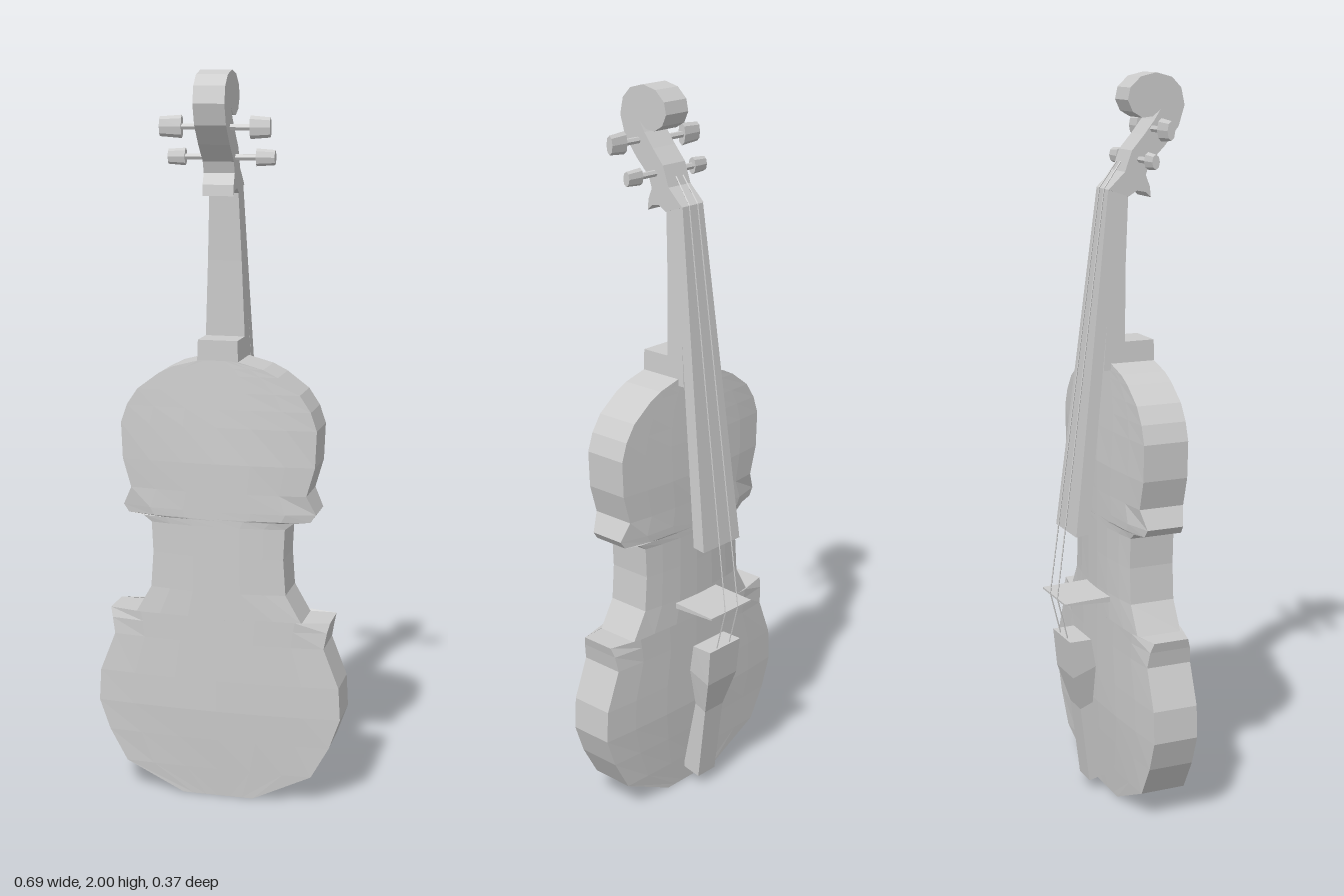
import * as THREE from 'three';

const material = new THREE.MeshStandardMaterial({ color: 0xcccccc, flatShading: true, side: THREE.DoubleSide });

function add(parent, name, geometry) {
  const mesh = new THREE.Mesh(geometry, material);
  mesh.name = name;
  parent.add(mesh);
  return mesh;
}

// Skin a stack of equal-length rings (bottom to top) and close both ends.
function loft(rings) {
  const n = rings[0].length, index = [];
  for (let i = 0; i < rings.length - 1; i++) {
    for (let j = 0; j < n; j++) {
      const k = (j + 1) % n, a = i * n + j, b = i * n + k;
      index.push(a, b, a + n, b, b + n, a + n);
    }
  }
  const top = (rings.length - 1) * n;
  for (let j = 1; j < n - 1; j++) {
    index.push(0, j + 1, j, top, top + j, top + j + 1);
  }
  const g = new THREE.BufferGeometry();
  g.setAttribute('position', new THREE.Float32BufferAttribute(rings.flat(2), 3));
  g.setIndex(index);
  const flat = g.toNonIndexed();
  flat.computeVertexNormals();
  return flat;
}

// Extrude a side profile of [z, y] points; width(y) gives the half width.
function sideProfile(points, width) {
  const shape = new THREE.Shape(points.map(([z, y]) => new THREE.Vector2(z, y)));
  const g = new THREE.ExtrudeGeometry(shape, { depth: 2, bevelEnabled: false });
  g.translate(0, 0, -1).rotateY(-Math.PI / 2);
  const p = g.attributes.position;
  for (let i = 0; i < p.count; i++) p.setX(i, p.getX(i) * width(p.getY(i)));
  g.computeVertexNormals();
  return g;
}

// Rod between two points.
function rod(a, b, radius, sides) {
  const path = new THREE.LineCurve3(new THREE.Vector3(...a), new THREE.Vector3(...b));
  return new THREE.TubeGeometry(path, 1, radius, sides, false);
}

export function createModel() {
  const model = new THREE.Group();
  model.name = 'violin';

  // Body outline: y, half width, rim inset at the pointed corners
  const outline = [
    [0, 0.1, 0], [0.08, 0.265, 0], [0.17, 0.315, 0], [0.255, 0.345, 0], [0.345, 0.34, 0],
    [0.455, 0.297, 0], [0.5, 0.305, 0.005], [0.527, 0.312, 0.014], [0.522, 0.235, 0],
    [0.6, 0.19, 0], [0.7, 0.183, 0], [0.785, 0.187, 0], [0.803, 0.21, 0], [0.807, 0.255, 0.01],
    [0.828, 0.27, 0.012], [0.88, 0.245, 0], [0.96, 0.268, 0], [1.06, 0.272, 0],
    [1.11, 0.255, 0], [1.155, 0.225, 0], [1.2, 0.165, 0], [1.22, 0.125, 0], [1.24, 0.05, 0],
  ];
  const steps = [-1, -0.7, -0.35, 0, 0.35, 0.7, 1];
  add(model, 'body', loft(outline.map(([y, w, inset]) => {
    const crown = 0.018 * Math.min(1, 1.6 * Math.sin(Math.PI * Math.min(1, y / 1.24)));
    const arch = (t) => crown * (1 - t * t) - (Math.abs(t) === 1 ? inset : 0);
    const back = steps.map((t) => [w * t, y, 0.09 + arch(t)]);
    const front = steps.map((t) => [-w * t, y, -0.037 - arch(t)]);
    return [...back, ...front];
  })));

  // Neck with heel block
  const taper = (y) => 0.04 + (1.68 - y) * 0.037;
  add(model, 'neck', sideProfile([
    [0.09, 1.22], [0.09, 1.295], [0.005, 1.295], [0.01, 1.5], [0.02, 1.68],
    [0.01, 1.72], [-0.037, 1.7], [-0.037, 1.45], [-0.058, 1.22],
  ], taper));

  // Pegbox rising into the scroll
  add(model, 'pegboxAndScroll', sideProfile([
    [-0.037, 1.7], [0.02, 1.68], [0.045, 1.695], [0.07, 1.69], [0.085, 1.676], [0.082, 1.705], [0.07, 1.735],
    [0.08, 1.765], [0.125, 1.81], [0.165, 1.86], [0.182, 1.915], [0.172, 1.96], [0.145, 1.988],
    [0.1, 2.0], [0.055, 1.99], [0.025, 1.962], [0.018, 1.93], [0.032, 1.9], [0.06, 1.884],
    [0.09, 1.887], [0.112, 1.905], [0.095, 1.878], [0.065, 1.84], [0.03, 1.8], [0.01, 1.745],
  ], () => 0.042));

  // Fingerboard
  add(model, 'fingerboard', sideProfile([
    [-0.037, 1.7], [-0.035, 1.45], [-0.11, 0.775], [-0.147, 0.77],
  ], taper));

  // Tuning pegs: side, y, z, knob start, knob end, knob half height
  const pegs = [
    [1, 1.855, 0.117, 0.095, 0.148, 0.03], [-1, 1.855, 0.09, 0.095, 0.155, 0.03],
    [1, 1.776, 0.058, 0.098, 0.148, 0.023], [-1, 1.776, 0.053, 0.095, 0.142, 0.023],
  ];
  for (const [side, y, z, start, end, half] of pegs) {
    const peg = new THREE.Group();
    peg.name = 'tuningPeg';
    add(peg, 'pegShaft', rod([side * 0.03, y, z], [side * start, y, z], 0.009, 6));
    const knob = new THREE.CylinderGeometry(0.85, 1, end - start, 8);
    knob.rotateZ(-side * Math.PI / 2).scale(1, half, 0.013);
    add(peg, 'pegKnob', knob).position.set(side * (start + end) / 2, y, z);
    model.add(peg);
  }

  // Bridge: thin wedge standing off the body
  add(model, 'bridge', sideProfile([
    [-0.05, 0.592], [-0.05, 0.576], [-0.185, 0.582], [-0.185, 0.587],
  ], () => 0.083));

  // Tailpiece: y and z of the inner edge, y and z of the outer edge, half width
  const tailRows = [
    [0.045, -0.037, 0.033, -0.095, 0.035], [0.27, -0.085, 0.255, -0.122, 0.037],
    [0.385, -0.085, 0.36, -0.153, 0.06], [0.467, -0.1, 0.467, -0.163, 0.063],
  ];
  add(model, 'tailpiece', loft(tailRows.map(([yi, zi, yo, zo, w]) =>
    [[-w, yi, zi], [w, yi, zi], [w, yo, zo], [-w, yo, zo]])));

  // Strings from pegbox over the nut and bridge to the tailpiece
  for (const side of [-1, 1]) {
    const points = [
      [side * 0.013, 1.77, 0.01], [side * 0.016, 1.702, -0.039],
      [side * 0.026, 0.587, -0.185], [side * 0.026, 0.465, -0.155],
    ];
    const string = new THREE.Group();
    string.name = 'string';
    for (let i = 0; i < 3; i++) add(string, 'stringLength', rod(points[i], points[i + 1], 0.002, 4));
    model.add(string);
  }

  return model;
}
